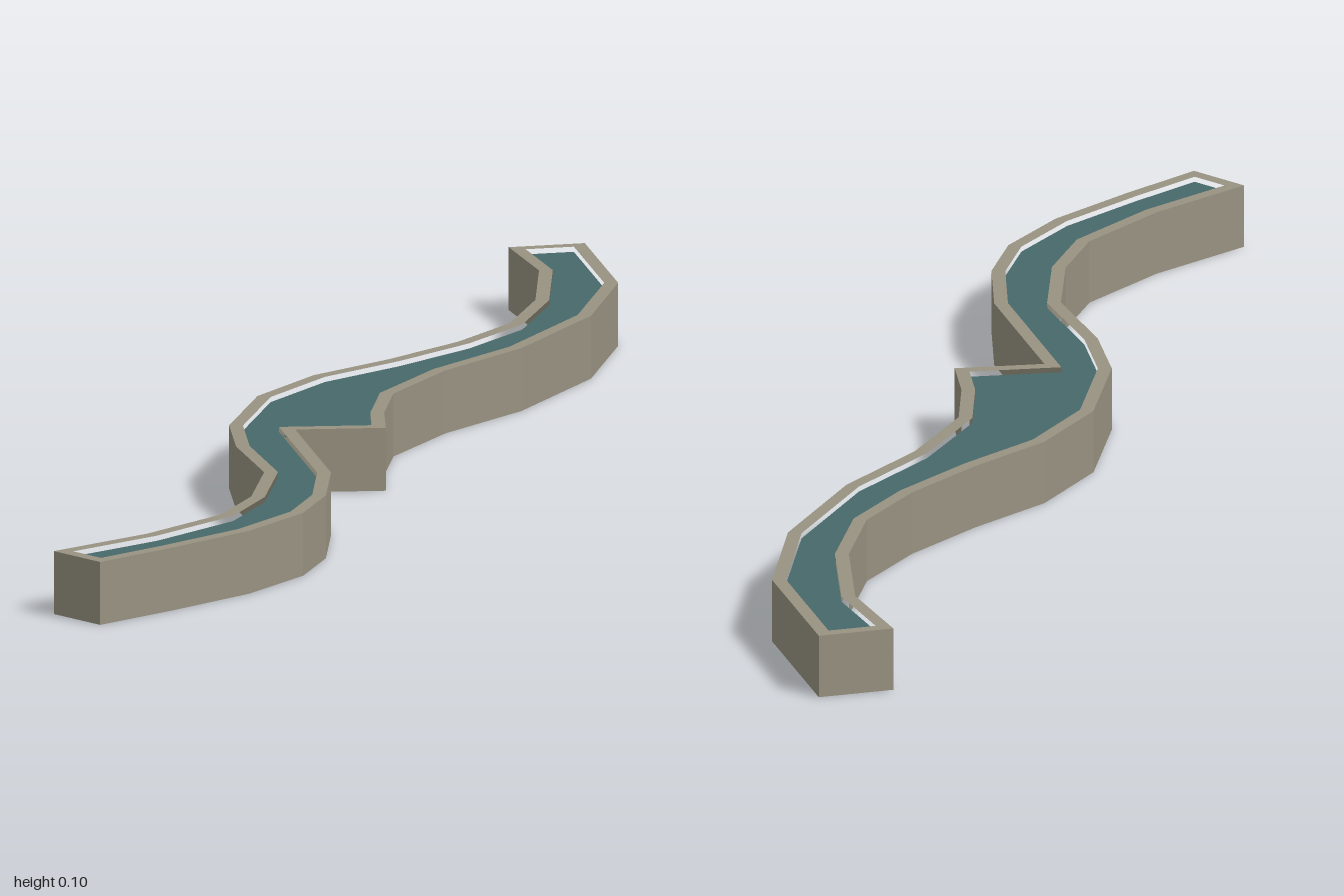
import * as THREE from 'three';

const HEIGHT = 0.098, RIM = 0.021, WATER_LEVEL = 0.09, BED = 0.02;

// Bank outline seen from above as [x, z], clockwise from the far end
const OUTLINE = [
  [-0.67, -1], [-0.41, -0.865], [-0.246, -0.687], [-0.124, -0.46], [-0.066, -0.27],
  [0.019, -0.105], [0.12, -0.01], [0.209, 0.055], [0.135, 0.172],
  [0.415, 0.318], [0.542, 0.425], [0.622, 0.53], [0.675, 0.673], [0.7, 0.837], [0.717, 0.992],
  [0.611, 1], [0.597, 0.81], [0.555, 0.636], [0.479, 0.52], [0.352, 0.398],
  [0.177, 0.318], [0.05, 0.234], [-0.093, 0.07], [-0.161, -0.09], [-0.183, -0.25],
  [-0.22, -0.412], [-0.278, -0.555], [-0.389, -0.69], [-0.555, -0.824], [-0.717, -0.89],
].map(([x, z]) => new THREE.Vector2(x, -z));

// Moves every side inward by the same width, with mitred corners
function inset(points, width) {
  const n = points.length;
  const normal = (a, b) => {
    const d = b.clone().sub(a).normalize();
    return new THREE.Vector2(d.y, -d.x);
  };
  return points.map((p, i) => {
    const n1 = normal(points[(i + n - 1) % n], p);
    const n2 = normal(p, points[(i + 1) % n]);
    return p.clone().addScaledVector(n1.clone().add(n2), width / (1 + n1.dot(n2)));
  });
}

// Upright slab with the given plan shape
function slab(name, shape, bottom, top, material) {
  const geometry = new THREE.ExtrudeGeometry(shape, { depth: top - bottom, bevelEnabled: false });
  geometry.rotateX(-Math.PI / 2).translate(0, bottom, 0);
  const mesh = new THREE.Mesh(geometry, material);
  mesh.name = name;
  return mesh;
}

export function createModel() {
  const stone = new THREE.MeshStandardMaterial({ color: 0x989280 });
  stone.name = 'stone';
  const teal = new THREE.MeshStandardMaterial({ color: 0x47696b });
  teal.name = 'water teal';

  const inner = inset(OUTLINE, RIM);
  const wall = new THREE.Shape(OUTLINE);
  wall.holes.push(new THREE.Path(inner));
  const channel = new THREE.Shape(inner);

  const river = new THREE.Group();
  river.name = 'riverChannel';
  river.add(
    slab('bankWall', wall, 0, HEIGHT, stone),
    slab('riverBed', channel, 0, BED, stone),
    slab('waterSurface', channel, WATER_LEVEL - 0.008, WATER_LEVEL, teal),
  );
  return river;
}
